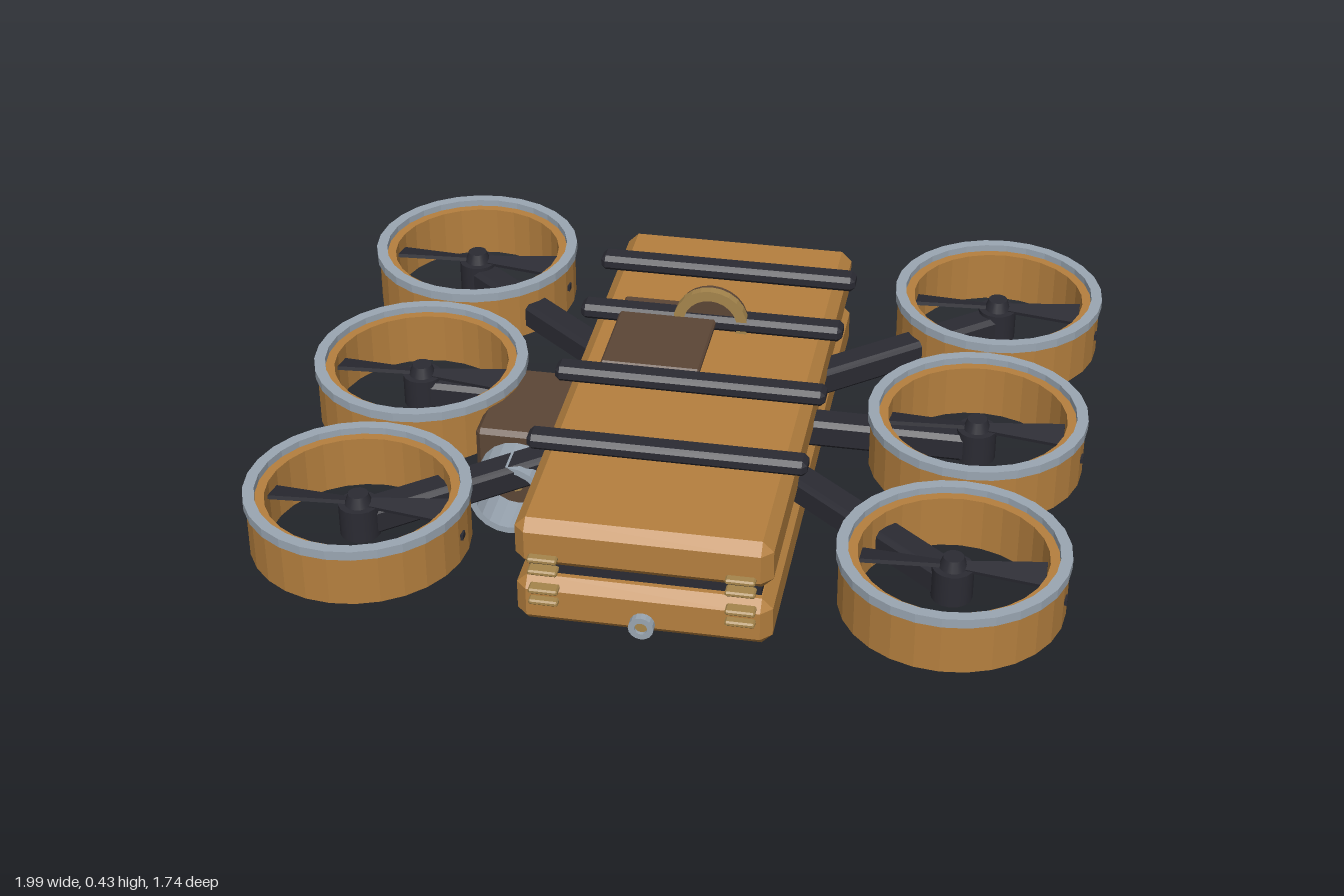
import * as THREE from 'three';
import { ConvexGeometry } from 'three/addons/geometries/ConvexGeometry.js';

const mat = (name, color, extra = {}) => {
  const m = new THREE.MeshStandardMaterial({ color, ...extra });
  m.name = name;
  return m;
};

// Box with every edge and corner cut by c
function chamferBox(w, h, d, c) {
  const pts = [];
  const [a, b, e] = [w / 2, h / 2, d / 2];
  for (const x of [-1, 1]) for (const y of [-1, 1]) for (const z of [-1, 1]) {
    pts.push(new THREE.Vector3(x * a, y * (b - c), z * (e - c)));
    pts.push(new THREE.Vector3(x * (a - c), y * b, z * (e - c)));
    pts.push(new THREE.Vector3(x * (a - c), y * (b - c), z * e));
  }
  return new ConvexGeometry(pts);
}

// Faceted hollow ring standing on the y axis
function ring(rIn, rOut, y0, y1, sides) {
  const p = [[rOut, y0], [rOut, y1], [rIn, y1], [rIn, y0], [rOut, y0]]
    .map(([x, y]) => new THREE.Vector2(x, y));
  const g = new THREE.LatheGeometry(p, sides).toNonIndexed();
  g.computeVertexNormals();
  return g;
}

export function createModel() {
  const root = new THREE.Group();
  root.name = 'sixRotorDrone';
  const orange = mat('ochreShell', 0xb5803f);
  const dark = mat('charcoal', 0x2b2b33);
  const grey = mat('steelGrey', 0x9aa6b2);
  const brown = mat('leatherBrown', 0x5c4636);
  const brass = mat('brass', 0xa5854c);

  const add = (parent, name, geo, material, x = 0, y = 0, z = 0) => {
    const m = new THREE.Mesh(geo, material);
    m.name = name;
    m.position.set(x, y, z);
    parent.add(m);
    return m;
  };

  // Body: two chamfered slabs around a dark core
  add(root, 'lowerShell', chamferBox(0.62, 0.13, 1.42, 0.027), orange, 0, 0.085, 0);
  add(root, 'upperShell', chamferBox(0.62, 0.13, 1.42, 0.027), orange, 0, 0.25, 0);
  add(root, 'core', new THREE.BoxGeometry(0.56, 0.06, 1.34), dark, 0, 0.168, 0);

  // Straps across the top
  for (const z of [-0.497, -0.24, 0.07, 0.383])
    add(root, 'strap', chamferBox(0.69, 0.042, 0.062, 0.012), dark, 0, 0.336, z);

  // Top flap and upright dial
  add(root, 'topFlap', chamferBox(0.255, 0.018, 0.33, 0.005), brown, -0.112, 0.341, -0.13);
  const dial = add(root, 'dial', new THREE.CylinderGeometry(0.094, 0.094, 0.026, 24), brown, 0, 0.335, -0.24);
  dial.rotation.x = Math.PI / 2;
  const rim = add(root, 'dialRim', ring(0.07, 0.098, -0.012, 0.012, 24), brass, 0, 0.335, -0.225);
  rim.rotation.x = Math.PI / 2;

  // Rotor units: arm, motor, propeller and duct
  const wall = ring(0.225, 0.27, 0.135, 0.272, 28);
  const lip = ring(0.248, 0.276, 0.266, 0.29, 28);
  const bladeShape = new THREE.Shape([[0.03, -0.014], [0.218, -0.036], [0.218, 0.036], [0.03, 0.014]]
    .map(([x, y]) => new THREE.Vector2(x, y)));
  const bladeGeo = new THREE.ExtrudeGeometry(bladeShape, { depth: 0.01, bevelEnabled: false });
  bladeGeo.rotateX(-Math.PI / 2 + 0.25);
  for (const side of [-1, 1]) for (const z of [-0.592, 0, 0.592]) {
    const x = side * 0.72;
    const len = Math.hypot(x, z);
    const arm = add(root, 'arm', chamferBox(len - 0.1, 0.075, 0.078, 0.012), dark, x * 0.55, 0.19, z * 0.55);
    arm.rotation.y = Math.atan2(-z, x);
    const rotor = new THREE.Group();
    rotor.name = 'rotor';
    rotor.position.set(x, 0, z);
    root.add(rotor);
    add(rotor, 'duct', wall, orange);
    add(rotor, 'ductLip', lip, grey);
    add(rotor, 'motor', new THREE.CylinderGeometry(0.05, 0.05, 0.085, 16), dark, 0, 0.195, 0);
    add(rotor, 'hub', new THREE.CylinderGeometry(0.025, 0.035, 0.03, 16), dark, 0, 0.25, 0);
    for (const a of [0, Math.PI]) {
      add(rotor, 'blade', bladeGeo, dark, 0, 0.235, 0).rotation.y = a;
      // Small bolt on each flank of the duct
      const s = a ? -1 : 1;
      add(rotor, 'ductBolt', new THREE.BoxGeometry(0.012, 0.016, 0.022), dark, s * 0.265, 0.203, s * 0.04);
    }
  }

  // Side pouch with a grey tube facing forward
  add(root, 'sidePouch', chamferBox(0.215, 0.25, 0.305, 0.012), brown, -0.407, 0.13, 0.107);
  const tube = add(root, 'lensTube', ring(0.083, 0.1, 0, 0.115, 20), grey, -0.408, 0.128, 0.255);
  tube.rotation.x = Math.PI / 2;
  const pin = add(root, 'lensPin', new THREE.CylinderGeometry(0.022, 0.022, 0.05, 10), brass, -0.405, 0.13, 0.275);
  pin.rotation.x = Math.PI / 2;

  // Front vents and round knob
  for (const x of [-0.237, 0.237]) for (const y of [0.1, 0.132, 0.187, 0.222])
    add(root, 'ventBar', chamferBox(0.072, 0.014, 0.035, 0.004), brass, x, y, 0.714);
  const knob = add(root, 'frontKnob', ring(0.016, 0.031, 0, 0.026, 16), grey, 0, 0.057, 0.705);
  knob.rotation.x = Math.PI / 2;
  const lens = add(root, 'knobCentre', new THREE.CylinderGeometry(0.018, 0.018, 0.02, 16), brass, 0, 0.057, 0.712);
  lens.rotation.x = Math.PI / 2;

  // Underside plate and sensor
  add(root, 'bellyPlate', chamferBox(0.1, 0.03, 0.19, 0.006), dark, 0, 0.016, 0.4);
  add(root, 'bellySensor', new THREE.CylinderGeometry(0.014, 0.014, 0.014, 10), dark, 0, 0.018, 0.62);

  // Rest the model on the ground
  root.position.y = -new THREE.Box3().setFromObject(root).min.y;
  return root;
}
